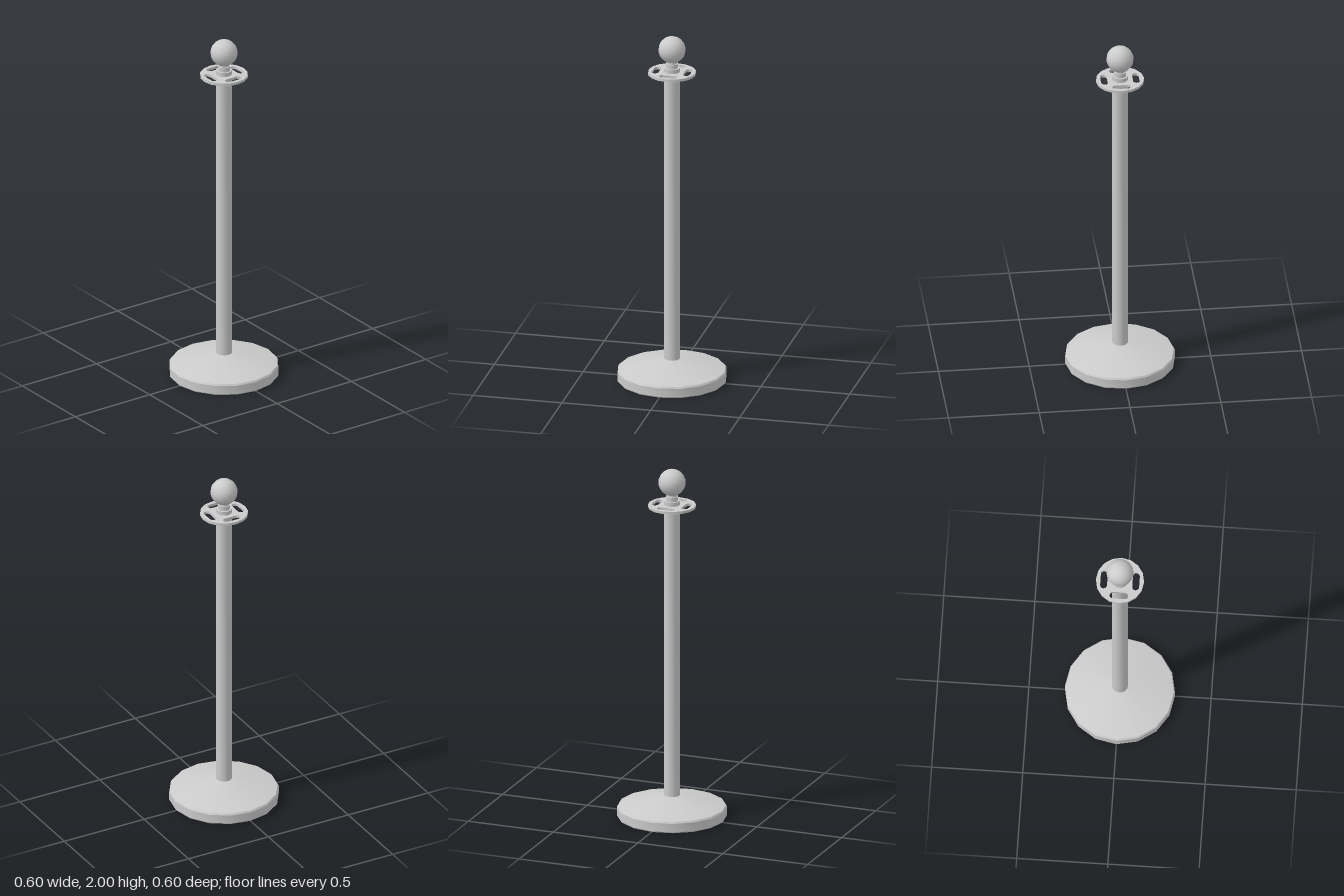
import * as THREE from 'three';
import { toCreasedNormals } from 'three/addons/utils/BufferGeometryUtils.js';

const SIDES = 16;
const material = new THREE.MeshStandardMaterial({ color: 0xcccccc });

function addPart(group, name, geometry) {
  const mesh = new THREE.Mesh(geometry, material);
  mesh.name = name;
  group.add(mesh);
  return mesh;
}

// Turned part from [radius, height] pairs, listed from bottom to top
function turned(points) {
  const profile = points.map(([r, y]) => new THREE.Vector2(r, y));
  return toCreasedNormals(new THREE.LatheGeometry(profile, SIDES), 0.5);
}

// Rounded slot, lying across the given direction from the centre
function slot(angle, distance, halfLength, radius) {
  const centre = new THREE.Vector2();
  const run = halfLength - radius;
  const points = [];
  for (const end of [1, -1]) {
    for (let i = 0; i <= 6; i++) {
      const a = -Math.PI / 2 + (Math.PI * i) / 6;
      points.push(new THREE.Vector2(
        end * (run + radius * Math.cos(a)),
        distance + end * radius * Math.sin(a)
      ).rotateAround(centre, angle));
    }
  }
  return new THREE.Path(points);
}

// Sixteen-sided disc with four rope slots
function ropePlateGeometry(radius, thickness) {
  const corners = [];
  for (let i = 0; i < SIDES; i++) {
    const a = (i / SIDES) * Math.PI * 2;
    corners.push(new THREE.Vector2(radius * Math.cos(a), radius * Math.sin(a)));
  }
  const shape = new THREE.Shape(corners);
  for (let i = 0; i < 4; i++) shape.holes.push(slot((i * Math.PI) / 2, 0.088, 0.052, 0.019));
  const geometry = new THREE.ExtrudeGeometry(shape, { depth: thickness, bevelEnabled: false });
  geometry.rotateX(-Math.PI / 2);
  return toCreasedNormals(geometry, 0.6);
}

export function createModel() {
  const group = new THREE.Group();
  group.name = 'ropeBarrierPost';

  // Weighted base with a small bevel and a sloping top
  addPart(group, 'base', turned([
    [0, 0], [0.298, 0], [0.302, 0.006], [0.302, 0.055], [0.296, 0.064], [0.044, 0.124], [0, 0.124],
  ]));

  // Upright pole
  addPart(group, 'pole', turned([[0.044, 0.115], [0.044, 1.79], [0, 1.79]]));

  // Slotted plate for the rope hooks
  addPart(group, 'ropePlate', ropePlateGeometry(0.132, 0.015)).position.y = 1.783;

  // Stepped collar and neck under the ball
  addPart(group, 'collar', turned([
    [0.044, 1.79], [0.044, 1.821], [0.034, 1.821], [0.034, 1.846],
    [0.028, 1.846], [0.028, 1.87], [0, 1.87],
  ]));

  // Ball finial
  addPart(group, 'ball', new THREE.SphereGeometry(0.075, SIDES, 12)).position.y = 1.925;

  return group;
}
